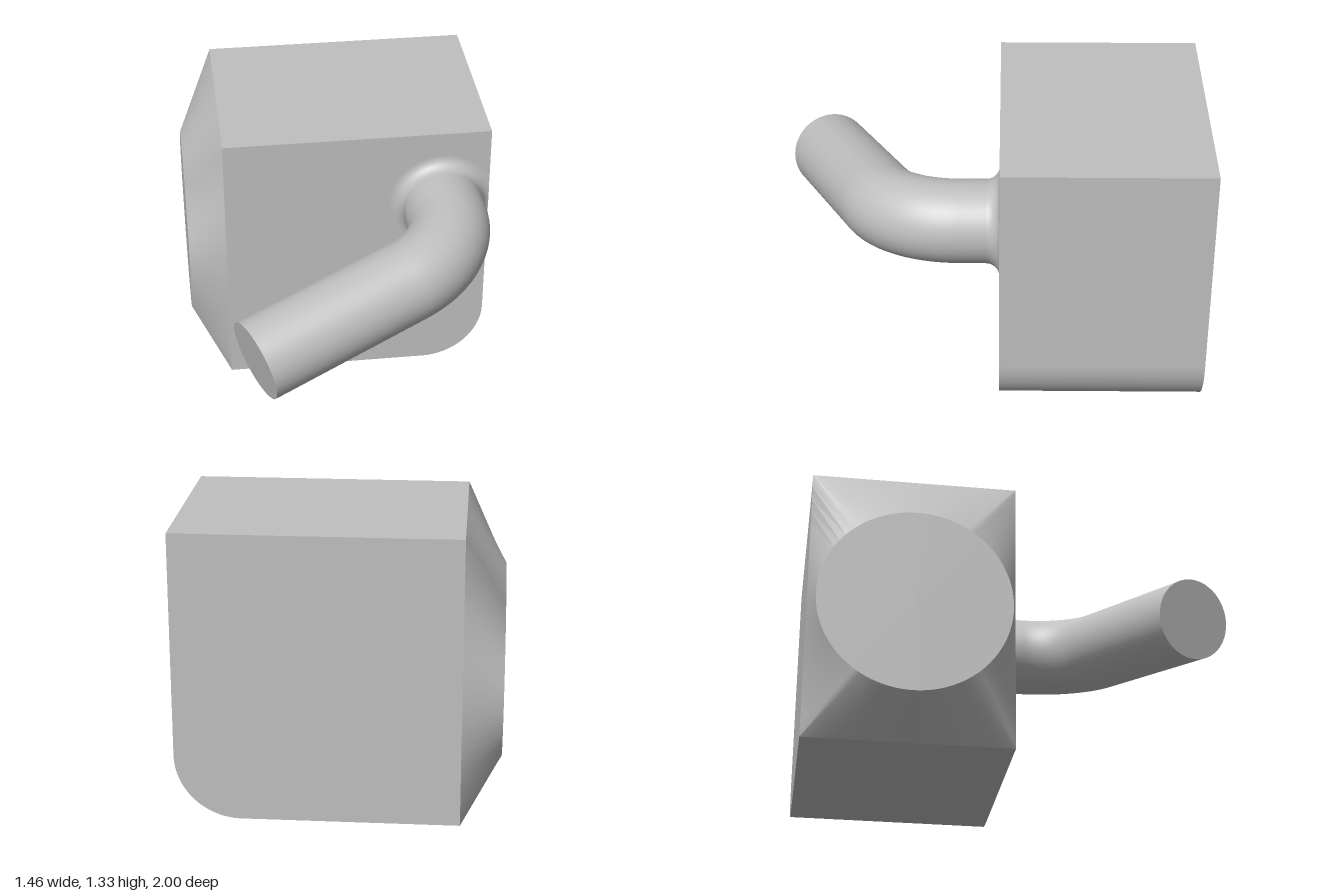
import * as THREE from 'three';
import { toCreasedNormals } from 'three/addons/utils/BufferGeometryUtils.js';

const LEFT = 0.73, SEAM = -0.55, TOP = 1.33, FRONT = -0.04, BACK = -1;
const PIPE_R = 0.193, FILLET = 0.06, PIPE_X = 0.5, PIPE_Y = 0.955;

// Pipe centreline: short straight, a 68 degree bend, then a long straight
class PipePath extends THREE.Curve {
  getPoint(t, target = new THREE.Vector3()) {
    const straight = 0.18, R = 0.41, turn = 1.187, arc = R * turn, tail = 0.805;
    const s = t * (straight + arc + tail);
    const a = THREE.MathUtils.clamp((s - straight) / R, 0, turn);
    const rest = Math.max(0, s - straight - arc);
    const u = R * (1 - Math.cos(a)) + rest * Math.sin(turn);
    const z = FRONT + Math.min(s, straight) + R * Math.sin(a) + rest * Math.cos(turn);
    return target.set(PIPE_X - 0.977 * u, PIPE_Y - 0.211 * u, z);
  }
}

// Ruled surface from the block's rectangular side to a circle
function transitionGeometry(cy, cz, r, endX) {
  const corners = [[BACK, 0], [FRONT, 0], [FRONT, TOP], [BACK, TOP]];
  const steps = 20, count = steps * 4, pos = [], index = [];
  const my = TOP / 2, mz = (FRONT + BACK) / 2;
  corners.forEach(([z0, y0], k) => {
    const [z1, y1] = corners[(k + 1) % 4];
    const a0 = Math.atan2(y0 - my, z0 - mz);
    let a1 = Math.atan2(y1 - my, z1 - mz);
    if (a1 < a0) a1 += Math.PI * 2;
    for (let i = 0; i < steps; i++) {
      const t = i / steps, a = a0 + (a1 - a0) * t;
      pos.push(SEAM, y0 + (y1 - y0) * t, z0 + (z1 - z0) * t);
      pos.push(endX, cy + r * Math.sin(a), cz + r * Math.cos(a));
    }
  });
  for (let i = 0; i < count; i++) {
    const a = i * 2, b = ((i + 1) % count) * 2;
    index.push(a, b, b + 1, a, b + 1, a + 1);
  }
  const g = new THREE.BufferGeometry();
  g.setAttribute('position', new THREE.Float32BufferAttribute(pos, 3));
  g.setIndex(index);
  return toCreasedNormals(g, 0.6);
}

export function createModel() {
  const group = new THREE.Group();
  const grey = new THREE.MeshStandardMaterial({ color: 0xbfbfbf });
  grey.name = 'grey';
  const add = (name, geometry) => {
    const mesh = new THREE.Mesh(geometry, grey);
    mesh.name = name;
    group.add(mesh);
    return mesh;
  };

  // Block with one rounded lower edge
  const r = 0.3, shape = new THREE.Shape();
  shape.moveTo(SEAM, 0);
  shape.lineTo(LEFT - r, 0);
  shape.absarc(LEFT - r, r, r, -Math.PI / 2, 0, false);
  shape.lineTo(LEFT, TOP);
  shape.lineTo(SEAM, TOP);
  shape.closePath();
  const block = new THREE.ExtrudeGeometry(shape, { depth: FRONT - BACK, bevelEnabled: false, curveSegments: 24 });
  block.translate(0, 0, BACK);
  add('block', toCreasedNormals(block, 0.6));

  // Square-to-round transition and its flat round end
  const cy = 0.62, cz = -0.52, cr = 0.445, endX = -0.73;
  add('transition', transitionGeometry(cy, cz, cr, endX));
  const disc = add('transitionEnd', new THREE.CircleGeometry(cr, 80));
  disc.rotation.y = -Math.PI / 2;
  disc.position.set(endX, cy, cz);

  // Bent pipe with a flat end
  const path = new PipePath();
  add('pipe', new THREE.TubeGeometry(path, 80, PIPE_R, 48, false));
  const cap = add('pipeEnd', new THREE.CircleGeometry(PIPE_R, 48));
  const end = path.getPoint(1);
  cap.position.copy(end);
  cap.lookAt(end.clone().add(path.getTangent(1)));

  // Fillet at the pipe root, trimmed flush with the block's side
  const profile = [];
  for (let i = 0; i <= 12; i++) {
    const a = (i / 12) * Math.PI / 2;
    profile.push(new THREE.Vector2(PIPE_R + FILLET * (1 - Math.sin(a)), FILLET * (1 - Math.cos(a))));
  }
  const fillet = new THREE.LatheGeometry(profile, 64);
  fillet.rotateX(Math.PI / 2);
  fillet.translate(PIPE_X, PIPE_Y, FRONT);
  const p = fillet.attributes.position;
  for (let i = 0; i < p.count; i++) p.setX(i, Math.min(p.getX(i), LEFT));
  add('pipeFillet', fillet);

  return group;
}
